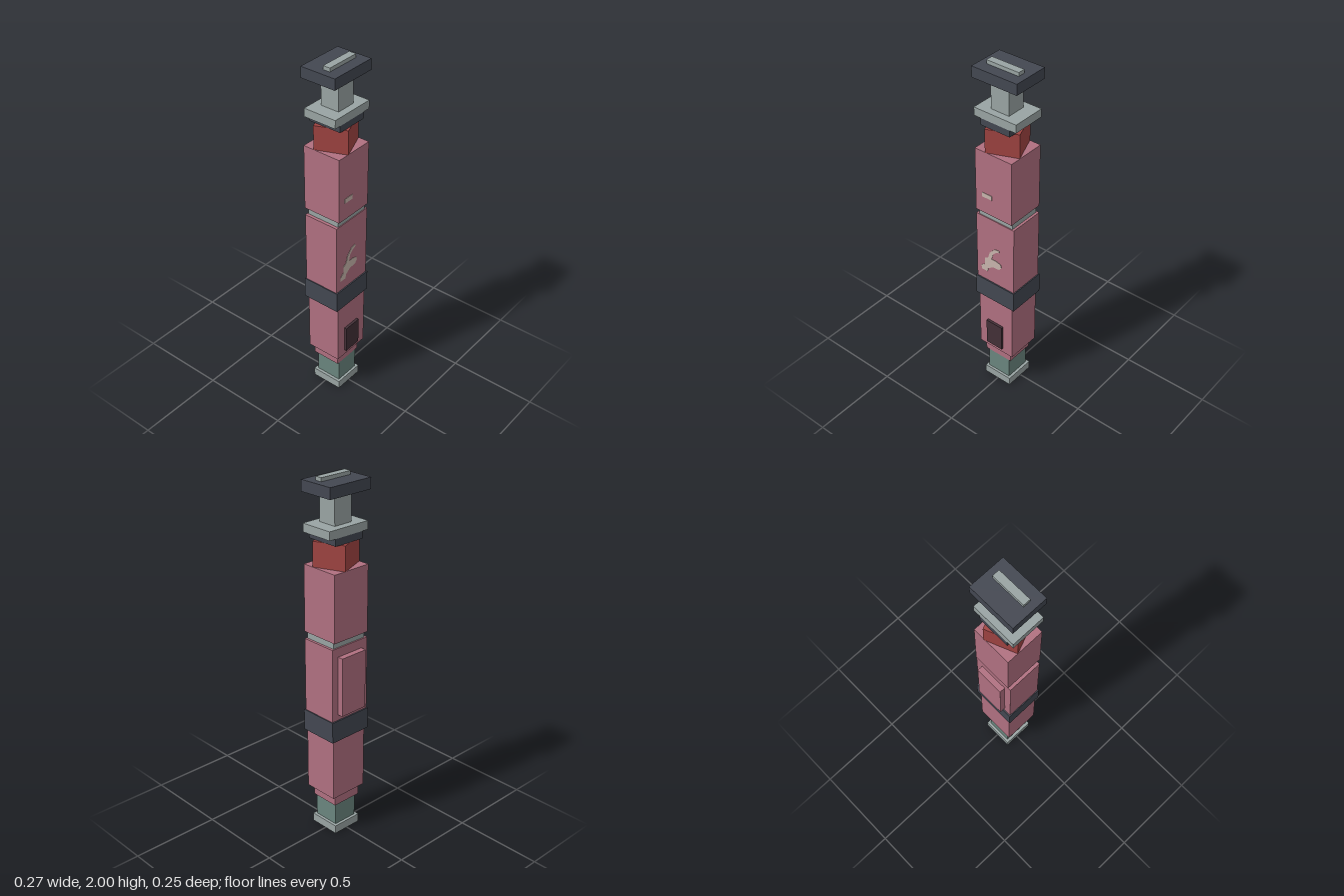
import * as THREE from 'three';

const mat = (name, color) => Object.assign(new THREE.MeshStandardMaterial({ color }), { name });

export function createModel() {
  const pink = mat('dusty pink', 0xb07080);
  const slate = mat('dark slate', 0x434751);
  const grey = mat('pale grey', 0x99a4a3);
  const teal = mat('grey teal', 0x6a857e);
  const red = mat('brick red', 0xa04442);
  const plum = mat('dark plum', 0x433037);
  const cream = mat('worn cream', 0xc8b5ac);
  const model = new THREE.Group();

  // Box given by its lower and upper limits on each axis
  const block = (name, m, x0, x1, y0, y1, z0, z1) => {
    const mesh = new THREE.Mesh(new THREE.BoxGeometry(x1 - x0, y1 - y0, z1 - z0), m);
    mesh.position.set((x0 + x1) / 2, (y0 + y1) / 2, (z0 + z1) / 2);
    mesh.name = name;
    model.add(mesh);
    return mesh;
  };

  // Foot and lower body
  block('foot', grey, -0.09, 0.087, 0, 0.048, -0.08, 0.1);
  block('footPost', teal, -0.074, 0.071, 0.048, 0.18, -0.064, 0.086);
  block('lowerCollar', pink, -0.09, 0.085, 0.18, 0.243, -0.075, 0.09);
  block('lowerBody', pink, -0.114, 0.113, 0.243, 0.6, -0.092, 0.111);
  block('frontPlate', plum, -0.057, 0.05, 0.275, 0.435, 0.111, 0.125);
  block('band', slate, -0.131, 0.129, 0.6, 0.72, -0.104, 0.118);

  // Middle body and its back panel
  block('middleBody', pink, -0.126, 0.123, 0.72, 1.135, -0.096, 0.111);
  block('backPanel', pink, -0.084, 0.083, 0.753, 1.085, -0.128, -0.096);
  block('bodyJoint', grey, -0.109, 0.109, 1.135, 1.17, -0.088, 0.106);

  // Upper body with the turned red block
  block('upperBody', pink, -0.118, 0.115, 1.17, 1.54, -0.105, 0.12);
  block('turnedBlock', red, -0.091, 0.087, 1.54, 1.675, -0.082, 0.096).rotation.y = 0.39;

  // Neck, flange and cap
  block('neck', slate, -0.092, 0.09, 1.675, 1.714, -0.086, 0.104);
  block('flange', grey, -0.131, 0.13, 1.714, 1.76, -0.086, 0.106);
  block('capPost', grey, -0.057, 0.055, 1.76, 1.92, -0.043, 0.066);
  block('cap', slate, -0.138, 0.136, 1.92, 1.98, -0.097, 0.109);
  block('capBar', grey, -0.098, 0.097, 1.98, 2, 0.006, 0.047);

  // Worn patches on the front
  block('upperMark', cream, -0.074, -0.012, 1.268, 1.294, 0.12, 0.122);
  const outline = [
    [-0.095, 0.78], [-0.055, 0.78], [-0.048, 0.805], [-0.015, 0.828], [0.025, 0.83],
    [0.042, 0.85], [0.036, 0.87], [0.01, 0.877], [-0.025, 0.878], [-0.015, 0.915],
    [0.005, 0.935], [0.028, 0.945], [0.026, 0.958], [-0.005, 0.952], [-0.038, 0.915],
    [-0.05, 0.875], [-0.07, 0.865], [-0.07, 0.825], [-0.095, 0.805],
  ].map(([x, y]) => new THREE.Vector2(x, y));
  const patch = new THREE.Mesh(
    new THREE.ExtrudeGeometry(new THREE.Shape(outline), { depth: 0.002, bevelEnabled: false }), cream);
  patch.name = 'wornPatch';
  patch.position.z = 0.111;
  model.add(patch);

  return model;
}
